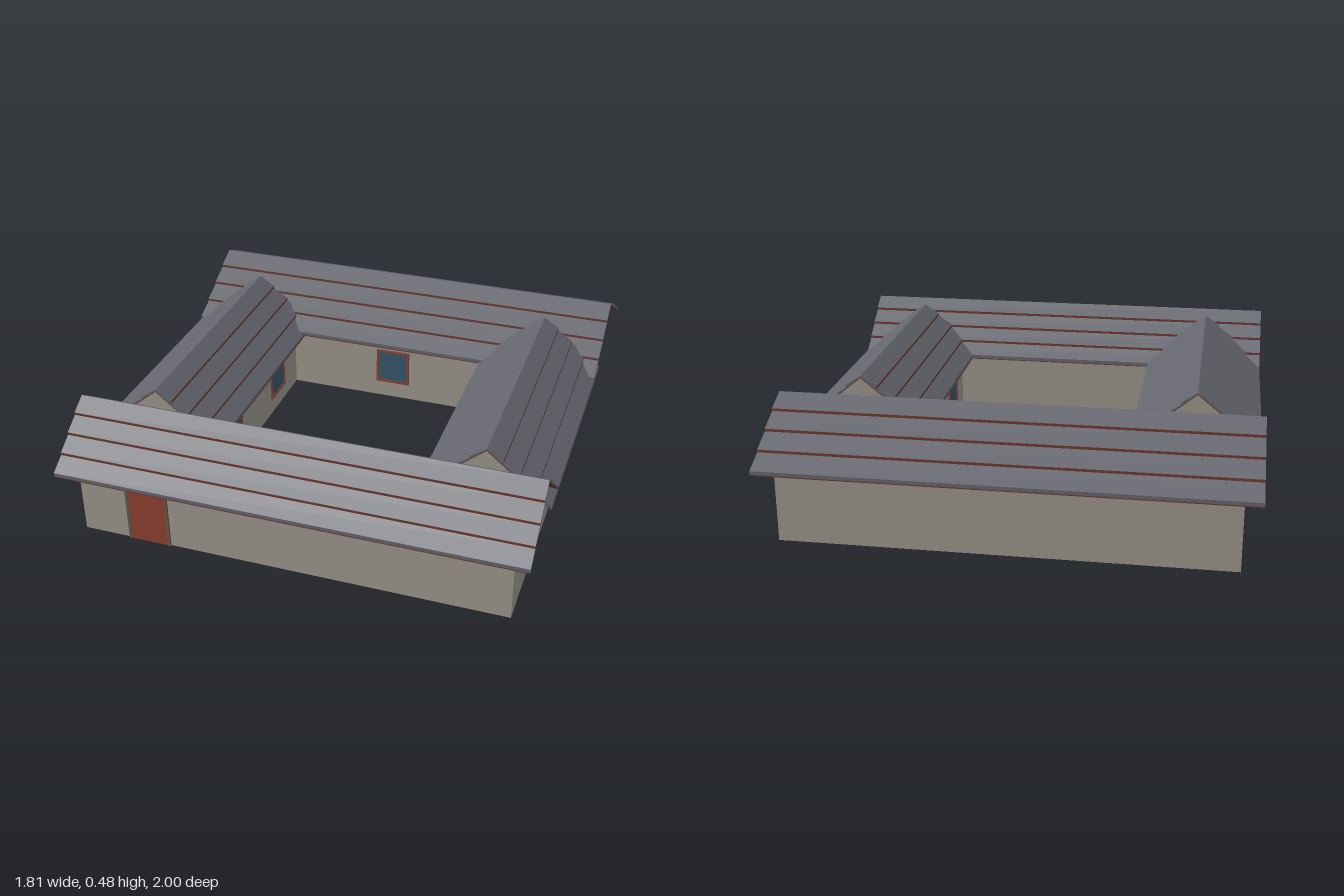
import * as THREE from 'three';

const mat = (name, color, side = THREE.FrontSide) => {
  const m = new THREE.MeshStandardMaterial({ color, side });
  m.name = name;
  return m;
};

const RIDGE = 0.48, COURSES = 4, STEP = 0.01;

export function createModel() {
  const wall = mat('plaster', 0x9a948a, THREE.DoubleSide);
  const tile = mat('roofTile', 0x64656d);
  const timber = mat('redTimber', 0x6e382e);
  const red = mat('redPaint', 0x8f3f30);
  const frame = mat('doorFrame', 0x5f5b4e);
  const glass = mat('windowGlass', 0x35566c);

  const model = new THREE.Group();
  model.name = 'courtyardHouse';

  const add = (parent, name, geo, material, x = 0, y = 0, z = 0) => {
    const m = new THREE.Mesh(geo, material);
    m.name = name;
    m.position.set(x, y, z);
    parent.add(m);
    return m;
  };

  // Extrude a profile symmetric about x = 0 from its right half, listed top to bottom
  const prism = (right, inner, z0, z1) => {
    const mirror = (pts) => pts.map(([x, y]) => [-x, y]);
    const pts = [...mirror(right).reverse(), ...right.slice(1), ...inner.slice().reverse(), ...mirror(inner).slice(1)];
    const shape = new THREE.Shape(pts.map(([x, y]) => new THREE.Vector2(x, y)));
    const geo = new THREE.ExtrudeGeometry(shape, { depth: z1 - z0, bevelEnabled: false });
    return geo.translate(0, 0, z0);
  };

  // Gabled wall shell, open underneath
  const shell = (half, peak, slope, z0, z1) => {
    const eave = peak - slope * half;
    const shape = new THREE.Shape([[-half, 0], [half, 0], [half, eave], [0, peak], [-half, eave]]
      .map(([x, y]) => new THREE.Vector2(x, y)));
    const src = new THREE.ExtrudeGeometry(shape, { depth: z1 - z0, bevelEnabled: false });
    const p = src.attributes.position;
    const keep = [];
    for (let i = 0; i < p.count; i += 3) {
      if (Math.max(p.getY(i), p.getY(i + 1), p.getY(i + 2)) < 1e-5) continue;
      for (let k = i; k < i + 3; k++) keep.push(p.getX(k), p.getY(k), p.getZ(k) + z0);
    }
    const geo = new THREE.BufferGeometry();
    geo.setAttribute('position', new THREE.Float32BufferAttribute(keep, 3));
    geo.computeVertexNormals();
    return geo;
  };

  // One wing: ridge along local z, walls plus stepped tile roof
  const wing = (name, { run, eave, half, walls, roof }) => {
    const g = new THREE.Group();
    g.name = name;
    const slope = (RIDGE - eave) / run;
    add(g, 'walls', shell(half, RIDGE - 0.009, slope, walls[0], walls[1]), wall);

    // Overlapping courses, each ending in a small step
    const top = [[0, RIDGE]];
    for (let i = 1; i <= COURSES; i++) {
      const x = run * i / COURSES, y = RIDGE - slope * x;
      top.push([x, y + STEP], [x, y]);
    }
    const line = (d) => [[0, RIDGE - d], [run, eave - d]];
    add(g, 'roofTiles', prism(top, line(0.004), roof[0], roof[1]), tile);
    add(g, 'roofBoards', prism(line(0.004), line(0.008), roof[0], roof[1]), timber);

    // Dark red edges showing under each course
    for (const s of [-1, 1]) {
      for (let i = 1; i < COURSES; i++) {
        const x = run * i / COURSES;
        const edge = add(g, 'courseEdge', new THREE.PlaneGeometry(roof[1] - roof[0], STEP), timber,
          s * (x + 0.0006), RIDGE - slope * x + STEP / 2, (roof[0] + roof[1]) / 2);
        edge.rotation.y = s * Math.PI / 2;
      }
    }
    model.add(g);
    return g;
  };

  // Front and back halls run across the plot
  const front = wing('frontHall', { run: 0.255, eave: 0.275, half: 0.188, walls: [-0.84, 0.84], roof: [-0.905, 0.905] });
  front.rotation.y = Math.PI / 2;
  front.position.z = 0.745;
  const back = wing('backHall', { run: 0.345, eave: 0.288, half: 0.28, walls: [-0.84, 0.84], roof: [-0.905, 0.905] });
  back.rotation.y = Math.PI / 2;
  back.position.z = -0.655;

  // Side wings join them around the courtyard
  for (const s of [-1, 1]) {
    const side = wing(s > 0 ? 'leftWing' : 'rightWing',
      { run: 0.25, eave: 0.275, half: 0.185, walls: [-0.375, 0.557], roof: [-0.44, 0.625] });
    side.position.x = s * 0.655;
  }

  // Framed opening facing local +z
  const opening = (name, w, h, fill, trim, bottomRail) => {
    const g = new THREE.Group();
    g.name = name;
    const t = 0.01;
    add(g, 'panel', new THREE.BoxGeometry(w, h, 0.006), fill, 0, h / 2, 0.002);
    for (const s of [-1, 1]) add(g, 'jamb', new THREE.BoxGeometry(t, h, 0.009), trim, s * (w - t) / 2, h / 2, 0.004);
    add(g, 'topRail', new THREE.BoxGeometry(w, t, 0.009), trim, 0, h - t / 2, 0.0041);
    if (bottomRail) add(g, 'bottomRail', new THREE.BoxGeometry(w, t, 0.009), trim, 0, t / 2, 0.0041);
    model.add(g);
    return g;
  };

  opening('frontDoor', 0.172, 0.255, red, frame, false).position.set(-0.564, 0, 0.933);
  opening('backHallWindow', 0.15, 0.16, glass, red, true).position.set(0, 0.075, -0.375);
  for (const s of [-1, 1]) {
    for (const z of [-0.14, 0.335]) {
      const w = opening('courtyardWindow', 0.15, 0.16, glass, red, true);
      w.position.set(s * 0.47, 0.075, z);
      w.rotation.y = -s * Math.PI / 2;
    }
  }
  return model;
}
